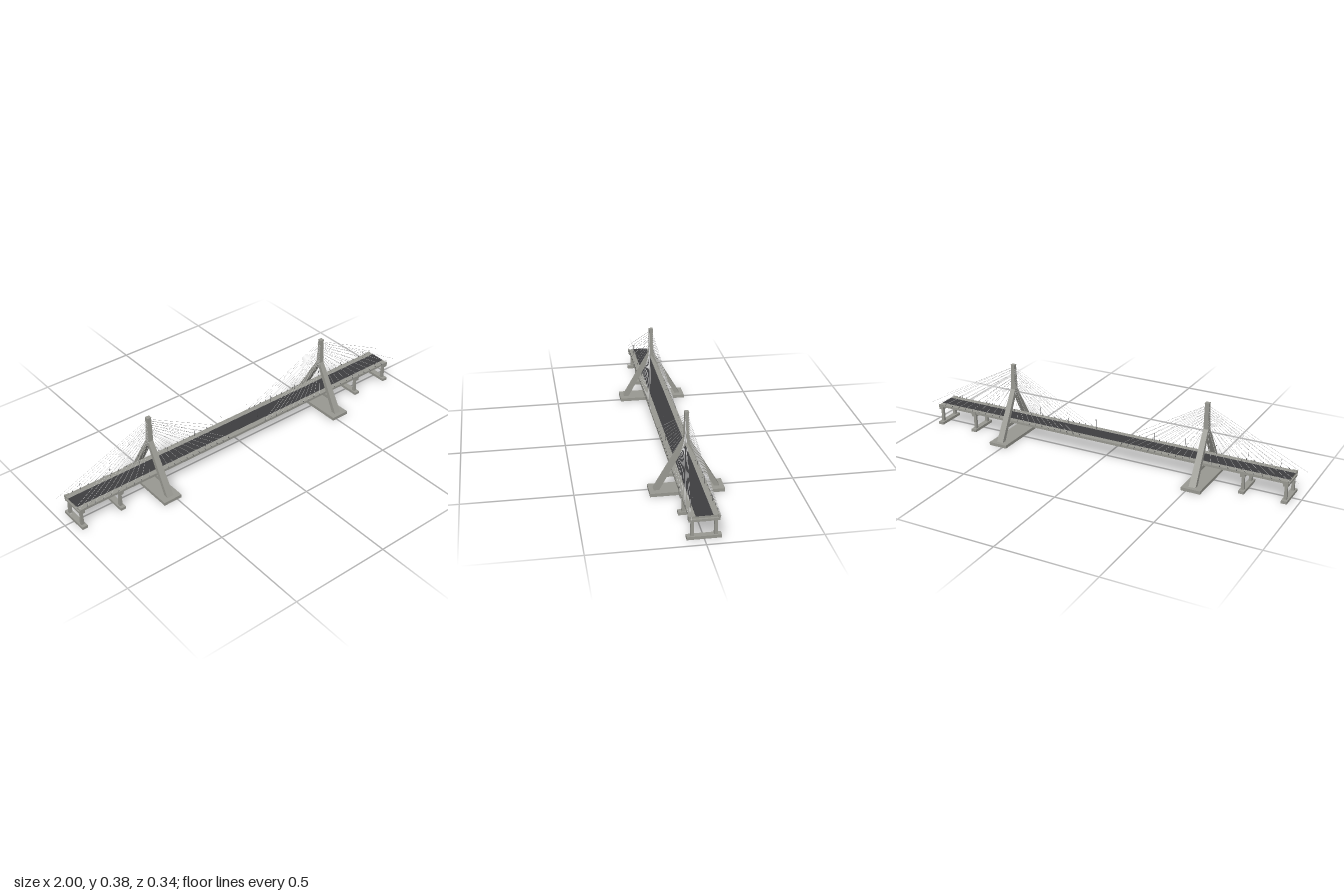
import * as THREE from 'three';

const mat = (name, color) => {
  const m = new THREE.MeshStandardMaterial({ color });
  m.name = name;
  return m;
};

export function createModel() {
  const concrete = mat('concrete', 0x999992);
  const asphalt = mat('asphalt', 0x3e3e40);
  const cableGrey = mat('cable grey', 0xc8c8c8);
  const steel = mat('dark steel', 0x4a4a4c);
  const bridge = new THREE.Group();
  bridge.name = 'bridge';

  const add = (parent, name, geo, material) => {
    const m = new THREE.Mesh(geo, material);
    m.name = name;
    parent.add(m);
    return m;
  };
  // Box given by its centre in x and z and its bottom and top heights
  const box = (parent, name, w, d, y0, y1, x, z, material) => {
    const m = add(parent, name, new THREE.BoxGeometry(w, y1 - y0, d), material);
    m.position.set(x, (y0 + y1) / 2, z);
    return m;
  };
  // Thin round bar between two points
  const bar = (parent, name, a, b, r, material) => {
    const dir = b.clone().sub(a);
    const m = add(parent, name, new THREE.CylinderGeometry(r, r, dir.length(), 6), material);
    m.position.copy(a).addScaledVector(dir, 0.5);
    m.quaternion.setFromUnitVectors(new THREE.Vector3(0, 1, 0), dir.normalize());
    return m;
  };
  const V = (x, y, z) => new THREE.Vector3(x, y, z);

  // Deck: slab, road surface, edge girders and ribs underneath
  const deck = new THREE.Group();
  deck.name = 'deck';
  bridge.add(deck);
  box(deck, 'slab', 1.9, 0.118, 0.1025, 0.107, 0, 0, concrete);
  box(deck, 'road', 1.9, 0.074, 0.107, 0.1078, 0, 0, asphalt);
  for (const s of [-1, 1]) box(deck, 'edgeGirder', 1.9, 0.006, 0.096, 0.108, 0, s * 0.062, concrete);
  for (let i = 0; i <= 48; i++) {
    box(deck, 'rib', 0.01, 0.118, 0.097, 0.1025, -0.944 + i * 1.888 / 48, 0, concrete);
  }

  // Inverted-Y tower profile, drawn across the bridge
  const profile = new THREE.Shape();
  [[0.15, 0.014], [0.012, 0.255], [0.009, 0.383], [-0.009, 0.383], [-0.012, 0.255], [-0.15, 0.014],
    [-0.125, 0.014], [0, 0.238], [0.125, 0.014]]
    .forEach(([z, y], i) => (i ? profile.lineTo(z, y) : profile.moveTo(z, y)));
  const towerGeo = new THREE.ExtrudeGeometry(profile, { depth: 2, bevelEnabled: false });
  towerGeo.translate(0, 0, -1).rotateY(Math.PI / 2);
  // Narrow the tower along the bridge toward its top
  const p = towerGeo.attributes.position;
  for (let i = 0; i < p.count; i++) p.setX(i, p.getX(i) * (0.0175 - 0.02 * p.getY(i)));
  towerGeo.computeVertexNormals();

  for (const side of [-1, 1]) {
    const tx = side * 0.525;
    const tower = new THREE.Group();
    tower.name = 'tower';
    bridge.add(tower);
    add(tower, 'legsAndMast', towerGeo, concrete).position.x = tx;
    box(tower, 'footing', 0.096, 0.338, 0, 0.016, tx, 0, concrete);
    box(tower, 'crossbeam', 0.028, 0.176, 0.077, 0.093, tx, 0, concrete);
    box(tower, 'mastCap', 0.022, 0.02, 0.381, 0.384, tx, 0, concrete);
    for (const z of [-0.05, 0.05]) box(tower, 'bearing', 0.02, 0.016, 0.093, 0.1025, tx, z, concrete);

    // Fans of stay cables on both sides of the mast
    const count = 11;
    for (const way of [-1, 1]) {
      const reach = way === side ? 0.475 : 0.415;
      for (let i = 0; i < count; i++) {
        const t = i / (count - 1);
        const x = tx + way * (0.055 + (reach - 0.055) * t);
        for (const s of [-1, 1]) {
          const low = V(x, 0.111, s * 0.064);
          const high = V(tx + way * 0.008, 0.255 + 0.11 * t, s * 0.007);
          bar(tower, 'cable', low, high, 0.0006, cableGrey);
          if (Math.abs(x) < 0.95) {
            bar(tower, 'cableAnchor', V(x, 0.105, s * 0.064), low.clone().lerp(high, 0.02), 0.0014, steel);
          }
        }
      }
    }

    // Approach piers
    for (const px of [0.735, 0.94]) {
      const x = side * px;
      const pier = new THREE.Group();
      pier.name = 'pier';
      bridge.add(pier);
      box(pier, 'pierFooting', 0.028, 0.148, 0, 0.014, x, 0, concrete);
      box(pier, 'pierCap', 0.024, 0.132, 0.082, 0.093, x, 0, concrete);
      for (const s of [-1, 1]) {
        const col = add(pier, 'pierColumn', new THREE.CylinderGeometry(0.0085, 0.0105, 0.07, 4, 1), concrete);
        col.geometry.rotateY(Math.PI / 4);
        col.geometry = col.geometry.toNonIndexed();
        col.geometry.computeVertexNormals();
        col.position.set(x, 0.048, s * 0.05);
        box(pier, 'capUpstand', 0.024, 0.007, 0.093, 0.109, x, s * 0.0645, concrete);
      }
    }
  }

  // Slender lamps along both kerbs
  for (let i = 0; i < 12; i++) {
    const x = -0.88 + i * 0.16;
    for (const s of [-1, 1]) {
      bar(bridge, 'lampPost', V(x, 0.107, s * 0.045), V(x, 0.158, s * 0.045), 0.0004, steel);
      bar(bridge, 'lampArm', V(x, 0.158, s * 0.045), V(x, 0.158, s * 0.031), 0.0004, steel);
    }
  }
  return bridge;
}
